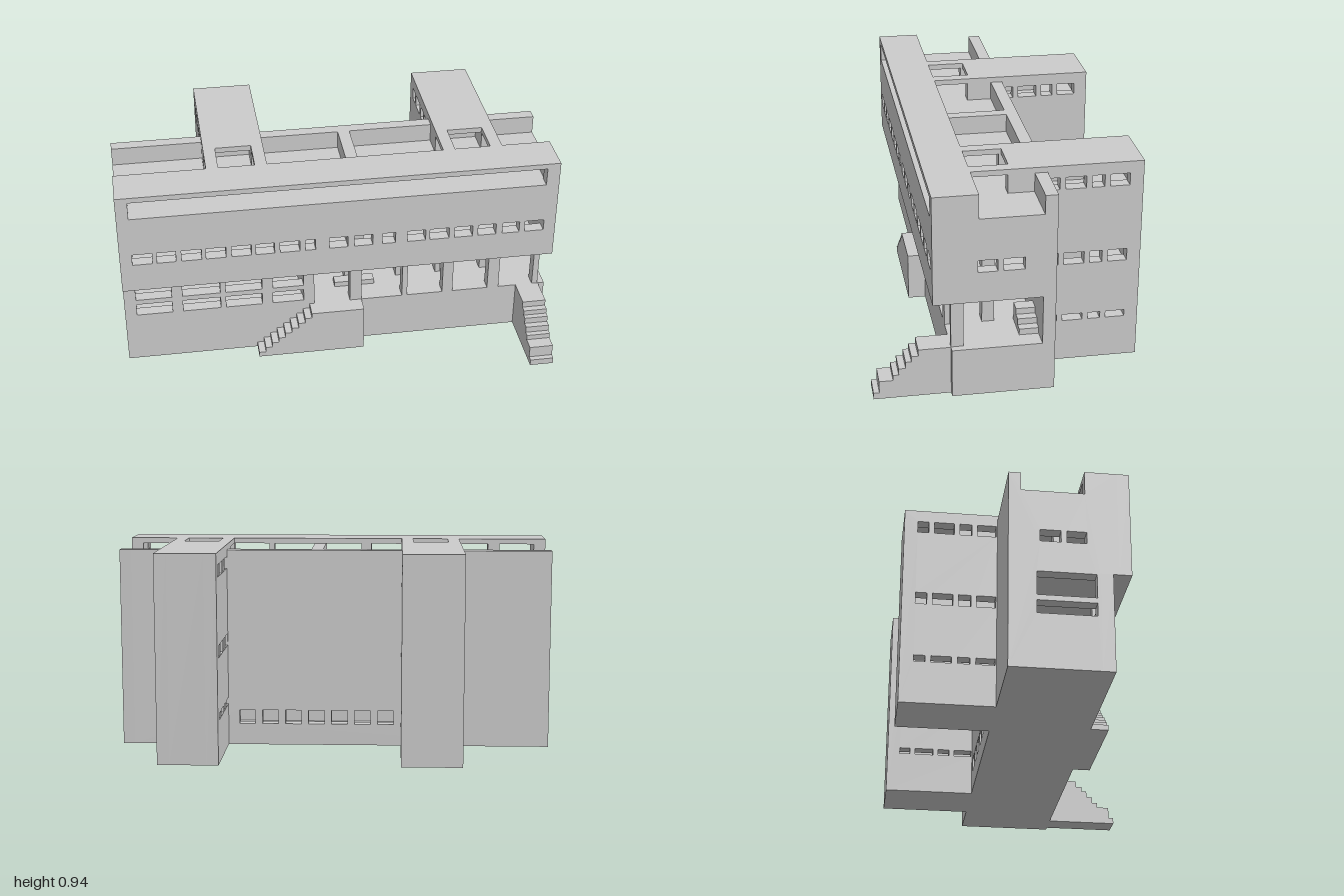
import * as THREE from 'three';

const T = 0.055; // wall thickness

export function createModel() {
  const model = new THREE.Group();
  const mat = new THREE.MeshStandardMaterial({ color: 0xcccccc, flatShading: true });

  const add = (name, geo) => {
    const mesh = new THREE.Mesh(geo, mat);
    mesh.name = name;
    model.add(mesh);
    return mesh;
  };
  // Box given by its extents on each axis
  const box = (name, x0, x1, y0, y1, z0, z1) =>
    add(name, new THREE.BoxGeometry(x1 - x0, y1 - y0, z1 - z0)
      .translate((x0 + x1) / 2, (y0 + y1) / 2, (z0 + z1) / 2));
  const rect = (u0, u1, v0, v1) => [[u0, v0], [u1, v0], [u1, v1], [u0, v1]];
  const points = (list) => list.map(([u, v]) => new THREE.Vector2(u, v));
  const slab = (outline, holes, depth) => {
    const shape = new THREE.Shape(points(outline));
    holes.forEach((h) => shape.holes.push(new THREE.Path(points(rect(...h)))));
    return new THREE.ExtrudeGeometry(shape, { depth, bevelEnabled: false });
  };
  // Wall drawn in x,y and starting at z0
  const wallXY = (name, outline, holes, z0, depth = T) =>
    add(name, slab(outline, holes, depth).translate(0, 0, z0));
  // Wall drawn in z,y and starting at x0
  const wallZY = (name, outline, holes, x0, depth = T) =>
    add(name, slab(outline, holes, depth).rotateY(-Math.PI / 2).translate(x0 + depth, 0, 0));

  // Upper front wall: window band and long gallery opening
  const frontWindows = [
    [-0.945, -0.855], [-0.835, -0.75], [-0.725, -0.635], [-0.615, -0.525], [-0.5, -0.41],
    [-0.39, -0.305], [-0.28, -0.19], [-0.165, -0.118], [-0.055, 0.03], [0.06, 0.145],
    [0.19, 0.25], [0.305, 0.39], [0.41, 0.5], [0.525, 0.61], [0.635, 0.72], [0.75, 0.83], [0.855, 0.945],
  ];
  wallXY('upperFrontWall', rect(-1, 1, 0.45, 0.945), [
    ...frontWindows.map(([a, b]) => [a, b, 0.59, 0.645]),
    [-0.945, 0.94, 0.835, 0.92],
  ], 0.29);

  // Lower front wall: two window rows and the open porch bays
  const lowerWindows = [[-0.945, -0.78], [-0.73, -0.555], [-0.53, -0.36], [-0.31, -0.165]];
  const porchBays = [[-0.115, 0.055], [0.11, 0.305], [0.33, 0.5], [0.55, 0.72]];
  wallXY('lowerFrontWall',
    [[-1, 0], [1, 0], [1, 0.225], [0.775, 0.225], [0.775, 0.45], [0.775, 0.47], [-0.99, 0.47], [-1, 0.45]], [
      ...lowerWindows.flatMap(([a, b]) => [[a, b, 0.25, 0.31], [a, b, 0.335, 0.45]]),
      ...porchBays.map(([a, b]) => [a, b, 0.225, 0.45]),
    ], 0.21);
  box('porchCornerPost', 0.94, 0.967, 0.225, 0.46, 0.21, 0.265);

  // End walls with the terrace notch on top
  const endTop = [[0.29, 0.45], [0.29, 0.945], [0.15, 0.945], [0.15, 0.835], [-0.125, 0.835], [-0.125, 0.92], [-0.18, 0.92], [-0.18, 0]];
  const endWindows = [[0.07, 0.155, 0.59, 0.645], [-0.045, 0.045, 0.59, 0.645]];
  wallZY('leftEndWall',
    [...endTop, [0.21, 0], [0.21, 0.225], [-0.125, 0.225], [-0.125, 0.45]], endWindows, 1 - T);
  wallZY('rightEndWall', [...endTop, [0.21, 0], [0.21, 0.45]],
    [...endWindows, [-0.06, 0.195, 0.25, 0.31], [-0.06, 0.195, 0.335, 0.445]], -1);

  // Back wall with low windows between the towers
  const backWindows = [];
  for (let i = 0; i < 7; i++) backWindows.push([-0.275 + i * 0.108, -0.2 + i * 0.108, 0.1, 0.165]);
  wallXY('backWall', rect(-1 + T, 1 - T, 0, 0.92), backWindows, -0.18);

  // Floors
  box('groundSlab', -1 + T, 1 - T, 0, 0.03, -0.125, 0.21);
  box('porchFloor', -1 + T, 1 - T, 0.19, 0.225, -0.125, 0.21);
  box('upperFloor', -1 + T, 1 - T, 0.45, 0.48, -0.125, 0.29);
  box('terraceFloor', -1 + T, 1 - T, 0.8, 0.835, -0.125, 0.29);

  // Gallery roof, posts and terrace divider
  box('galleryRoof', -1 + T, 1 - T, 0.92, 0.945, 0.15, 0.29);
  const posts = [[-0.78, -0.725], [-0.585, -0.53], [-0.36, -0.31], [-0.165, -0.115],
    [0.055, 0.11], [0.305, 0.33], [0.5, 0.525], [0.72, 0.775]];
  posts.forEach(([a, b]) => {
    box('galleryPost', a, b, 0.835, 0.92, 0.155, 0.21);
    box('upperColumn', a, b, 0.48, 0.8, 0.045, 0.1);
    if (a > -0.1) box('porchColumn', a, b, 0.225, 0.45, 0.045, 0.1);
  });
  box('terraceDivider', 0.055, 0.11, 0.835, 0.92, -0.155, 0.15);

  // Inner partitions
  wallZY('upperPartition', rect(-0.125, 0.29, 0.48, 0.8),
    [[0.1, 0.13, 0.59, 0.645], [0.015, 0.045, 0.59, 0.645]], 0.055);
  box('porchInnerWall', -0.165, -0.115, 0.225, 0.45, -0.125, 0.21);

  // Rear towers
  const sideWindows = [[-0.235, -0.185], [-0.35, -0.26], [-0.43, -0.375], [-0.54, -0.455]];
  const rows = [[0.195, 0.225], [0.475, 0.53], [0.835, 0.89]];
  const towerSide = [[-0.6, 0], [-0.6, 0.945], [0.15, 0.945], [0.15, 0.92], [-0.01, 0.92],
    [-0.01, 0.835], [-0.18, 0.835], [-0.18, 0]];
  const grid = (spans) => spans.flatMap(([a, b]) => rows.map(([c, d]) => [a, b, c, d]));
  const flipped = sideWindows.map(([a, b]) => [-0.725 - b, -0.725 - a]);
  [[-0.585, -0.31], [0.5, 0.775]].forEach(([a, b]) => {
    wallZY('towerSide', towerSide, grid(sideWindows), b - T);
    wallZY('towerSide', towerSide, grid(flipped), a);
    box('towerBackWall', a + T, b - T, 0, 0.945, -0.6, -0.545);
    box('towerRoof', a + T, b - T, 0.92, 0.945, -0.545, -0.02);
    box('towerBase', a + T, b - T, 0, 0.03, -0.545, -0.18);
    [0.42, 0.8].forEach((y) => box('towerFloor', a + T, b - T, y, y + 0.03, -0.545, -0.18));
    box('towerCore', a + 0.1, b - 0.1, 0.03, 0.92, -0.36, -0.18);
  });

  // Side stair running along the front, with its landing
  const sideSteps = [[0.11, 0], [0.11, 0.225]];
  for (let i = 9; i > 0; i--) {
    const x = -0.39 + (i - 1) * 0.0315;
    sideSteps.push([x, i * 0.025], [x, (i - 1) * 0.025]);
  }
  wallXY('frontSideStair', sideSteps, [], 0.265, 0.08);

  // Straight stair at the left end
  wallZY('entranceStair', [[0.265, 0], [0.6, 0], [0.6, 0.03], [0.575, 0.03], [0.575, 0.085], [0.515, 0.085],
    [0.515, 0.11], [0.49, 0.11], [0.49, 0.14], [0.46, 0.14], [0.46, 0.17], [0.435, 0.17],
    [0.435, 0.195], [0.405, 0.195], [0.405, 0.225], [0.265, 0.225]], [], 0.86, 0.11);

  // Small steps inside the porch and the room beside it
  for (let i = 0; i < 3; i++) {
    const y = 0.225 + i * 0.028;
    box('porchStep', 0.775, 0.915 - i * 0.04, y, y + 0.028, -0.125, -0.04);
    box('roomStep', -0.67 + i * 0.035, -0.56, y, y + 0.028, -0.125, -0.04);
  }
  box('doorStep', 0, 0.19, 0.225, 0.25, 0.1, 0.15);

  return model;
}
